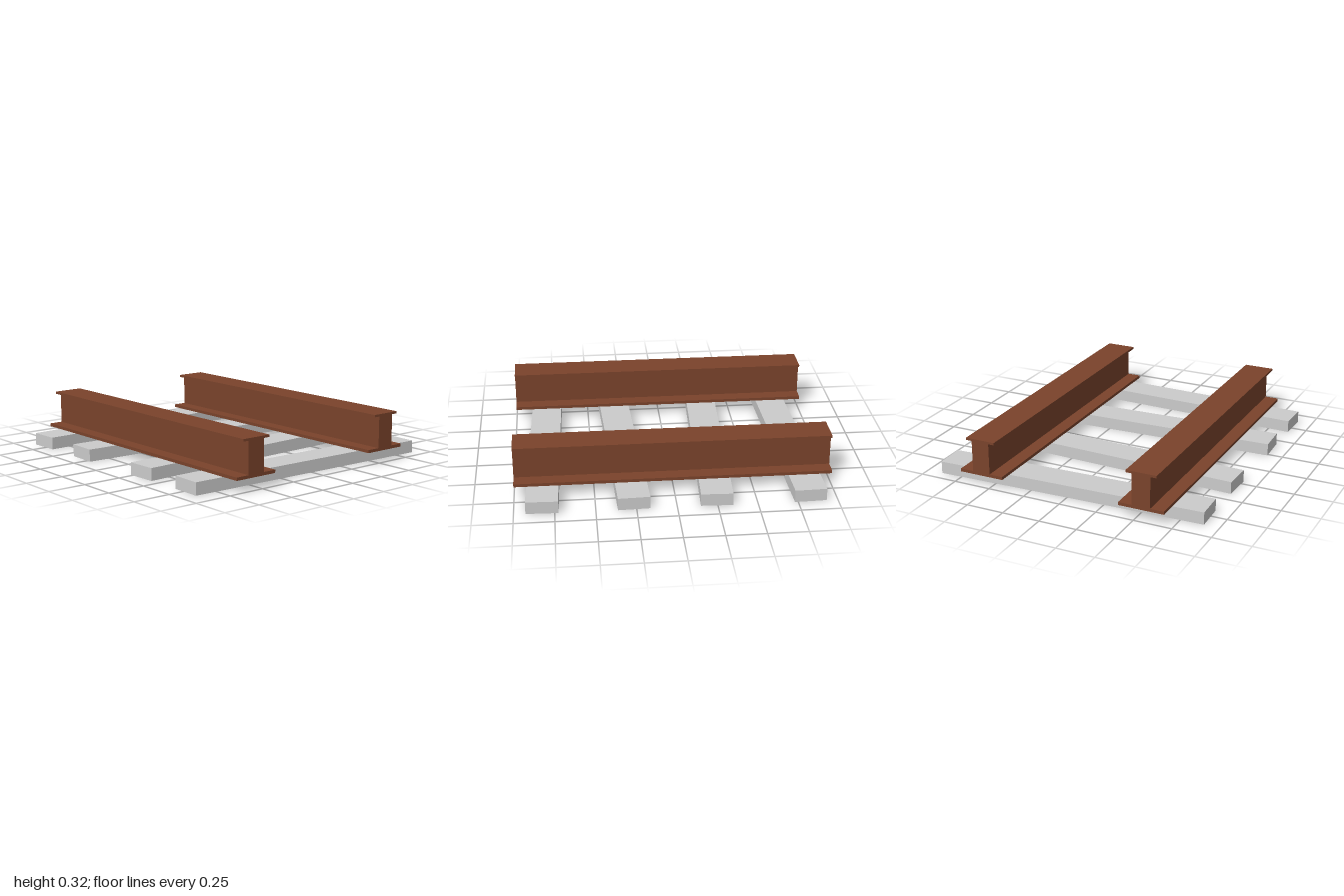
import * as THREE from 'three';

const steel = new THREE.MeshStandardMaterial({ color: 0x7a432b, flatShading: true });
const grey = new THREE.MeshStandardMaterial({ color: 0xcccccc, flatShading: true });

// I-shaped rail section, mirrored from its right half [half width, height]
function railGeometry() {
  const half = [[0.15, 0.08], [0.15, 0.1], [0.06, 0.1], [0.06, 0.305], [0.1, 0.305], [0.1, 0.32]];
  const mirrored = half.map(([w, y]) => [-w, y]).reverse();
  const section = new THREE.Shape([...half, ...mirrored].map(([w, y]) => new THREE.Vector2(w, y)));
  const geometry = new THREE.ExtrudeGeometry(section, { depth: 2, bevelEnabled: false });
  return geometry.translate(0, 0, -1).rotateY(Math.PI / 2);
}

export function createModel() {
  const track = new THREE.Group();
  track.name = 'railTrack';

  // Two parallel rails
  const railGeo = railGeometry();
  for (const [name, z] of [['frontRail', 0.55], ['backRail', -0.55]]) {
    const rail = new THREE.Mesh(railGeo, steel);
    rail.name = name;
    rail.position.z = z;
    track.add(rail);
  }

  // Sleepers, each laid slightly askew: [x, turn]
  const sleeperGeo = new THREE.BoxGeometry(0.2, 0.08, 1.795);
  const layout = [[-0.8, 0.033], [-0.28, -0.039], [0.3, 0.039], [0.8, -0.031]];
  layout.forEach(([x, turn], i) => {
    const sleeper = new THREE.Mesh(sleeperGeo, grey);
    sleeper.name = `sleeper${i + 1}`;
    sleeper.position.set(x, 0.04, 0);
    sleeper.rotation.y = turn;
    track.add(sleeper);
  });

  return track;
}
